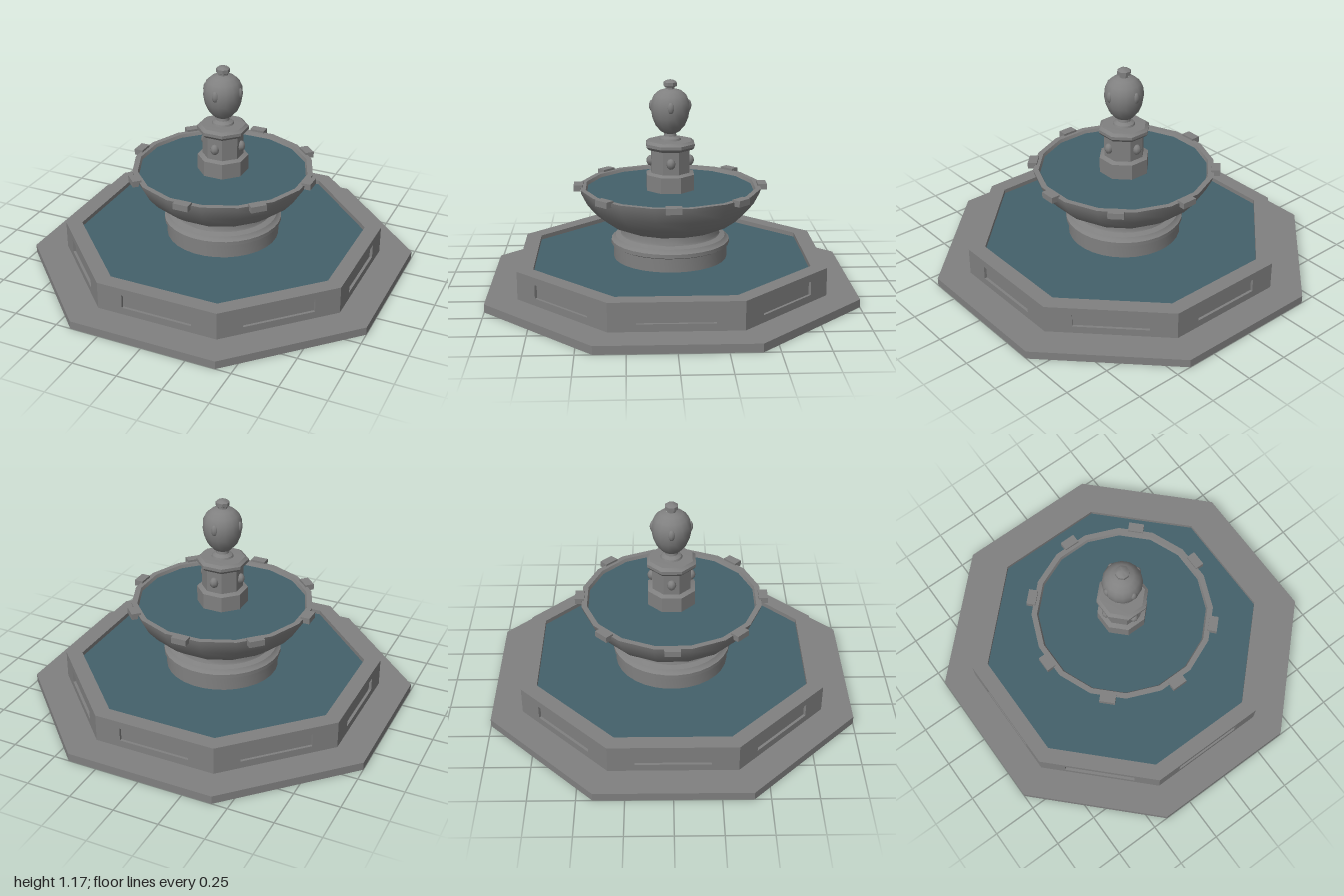
import * as THREE from 'three';
import { toCreasedNormals } from 'three/addons/utils/BufferGeometryUtils.js';

export function createModel() {
  const fountain = new THREE.Group();
  fountain.name = 'fountain';
  const stone = new THREE.MeshStandardMaterial({ color: 0x808080 });
  stone.name = 'stone';
  const water = new THREE.MeshStandardMaterial({ color: 0x44616b });
  water.name = 'water';

  function add(name, geometry, material = stone, parent = fountain) {
    const mesh = new THREE.Mesh(geometry, material);
    mesh.name = name;
    parent.add(mesh);
    return mesh;
  }

  // Turned part with flat sides facing the axes; radii are measured to the flats
  function turned(name, sides, profile, material = stone) {
    const k = 1 / Math.cos(Math.PI / sides);
    const points = profile.map(([r, y]) => new THREE.Vector2(r * k, y));
    const geometry = new THREE.LatheGeometry(points, sides, Math.PI / sides);
    return add(name, toCreasedNormals(geometry, 0.6), material);
  }

  // Repeats a part around the centre, built facing +z
  function around(name, count, build) {
    for (let i = 0; i < count; i++) {
      const group = new THREE.Group();
      group.name = name;
      group.rotation.y = (i * Math.PI * 2) / count;
      build(group);
      fountain.add(group);
    }
  }

  // Octagonal step and lower pool
  turned('baseStep', 8, [[0, 0], [1, 0], [1, 0.045], [0, 0.045]]);
  turned('poolWall', 8, [[0.815, 0.04], [0.815, 0.2], [0.745, 0.2], [0.745, 0.04]]);
  turned('poolWater', 8, [[0.746, 0.175], [0, 0.175]], water);

  // Wall facing with a sunken panel on each side, mitred at the corners
  const outer = 0.83, depth = 0.015;
  const half = outer * Math.tan(Math.PI / 8);
  const face = new THREE.Shape();
  face.moveTo(-half, 0.04).lineTo(half, 0.04).lineTo(half, 0.2).lineTo(-half, 0.2).closePath();
  const hole = new THREE.Path();
  hole.moveTo(-0.2, 0.085).lineTo(-0.2, 0.16).lineTo(0.2, 0.16).lineTo(0.2, 0.085).closePath();
  face.holes.push(hole);
  const facing = new THREE.ExtrudeGeometry(face, { depth, bevelEnabled: false });
  const pos = facing.attributes.position;
  for (let i = 0; i < pos.count; i++) {
    if (pos.getZ(i) < depth / 2 && Math.abs(pos.getX(i)) > 0.3) {
      pos.setX(i, pos.getX(i) * (outer - depth) / outer);
    }
  }
  facing.translate(0, 0, outer - depth);
  facing.computeVertexNormals();
  around('panelledSide', 8, (group) => add('panelFrame', facing, stone, group));

  // Round pedestal with moulding
  turned('pedestal', 32, [
    [0.315, 0.12], [0.315, 0.25], [0.328, 0.257], [0.328, 0.278], [0.315, 0.285],
    [0.305, 0.3], [0.275, 0.31], [0.27, 0.32], [0.27, 0.37],
  ]);

  // Upper bowl
  turned('upperBowl', 16, [
    [0, 0.36], [0.29, 0.36], [0.34, 0.382], [0.405, 0.43], [0.455, 0.49],
    [0.488, 0.555], [0.495, 0.58], [0.465, 0.58], [0.45, 0.545],
  ]);
  turned('bowlWater', 16, [[0.458, 0.562], [0, 0.562]], water);

  // Spout blocks clipped over the bowl rim
  around('rimSpout', 8, (group) => {
    add('spoutTop', new THREE.BoxGeometry(0.086, 0.014, 0.05), stone, group).position.set(0, 0.585, 0.508);
    add('spoutLip', new THREE.BoxGeometry(0.086, 0.034, 0.035), stone, group).position.set(0, 0.575, 0.516);
  });

  // Octagonal column and collar
  turned('column', 8, [
    [0.13, 0.54], [0.13, 0.65], [0.105, 0.66], [0.105, 0.785],
    [0.12, 0.79], [0.132, 0.805], [0.132, 0.822], [0.115, 0.836], [0, 0.84],
  ]);

  // Urn on its foot
  turned('urn', 16, [
    [0.06, 0.836], [0.055, 0.848], [0.035, 0.86], [0.032, 0.875], [0.05, 0.885],
    [0.08, 0.92], [0.098, 0.965], [0.106, 1.01], [0.103, 1.05], [0.088, 1.085],
    [0.06, 1.11], [0.025, 1.12],
  ]);
  turned('finial', 8, [
    [0.024, 1.115], [0.024, 1.13], [0.035, 1.136], [0.035, 1.156], [0.022, 1.166], [0, 1.172],
  ]);

  // Studs on the column and urn
  const stud = new THREE.SphereGeometry(1, 8, 6);
  around('studs', 4, (group) => {
    const low = add('columnStud', stud, stone, group);
    low.scale.set(0.025, 0.03, 0.025);
    low.position.set(0, 0.722, 0.107);
    const high = add('urnStud', stud, stone, group);
    high.scale.set(0.02, 0.032, 0.016);
    high.position.set(0, 1.028, 0.1);
  });

  return fountain;
}
